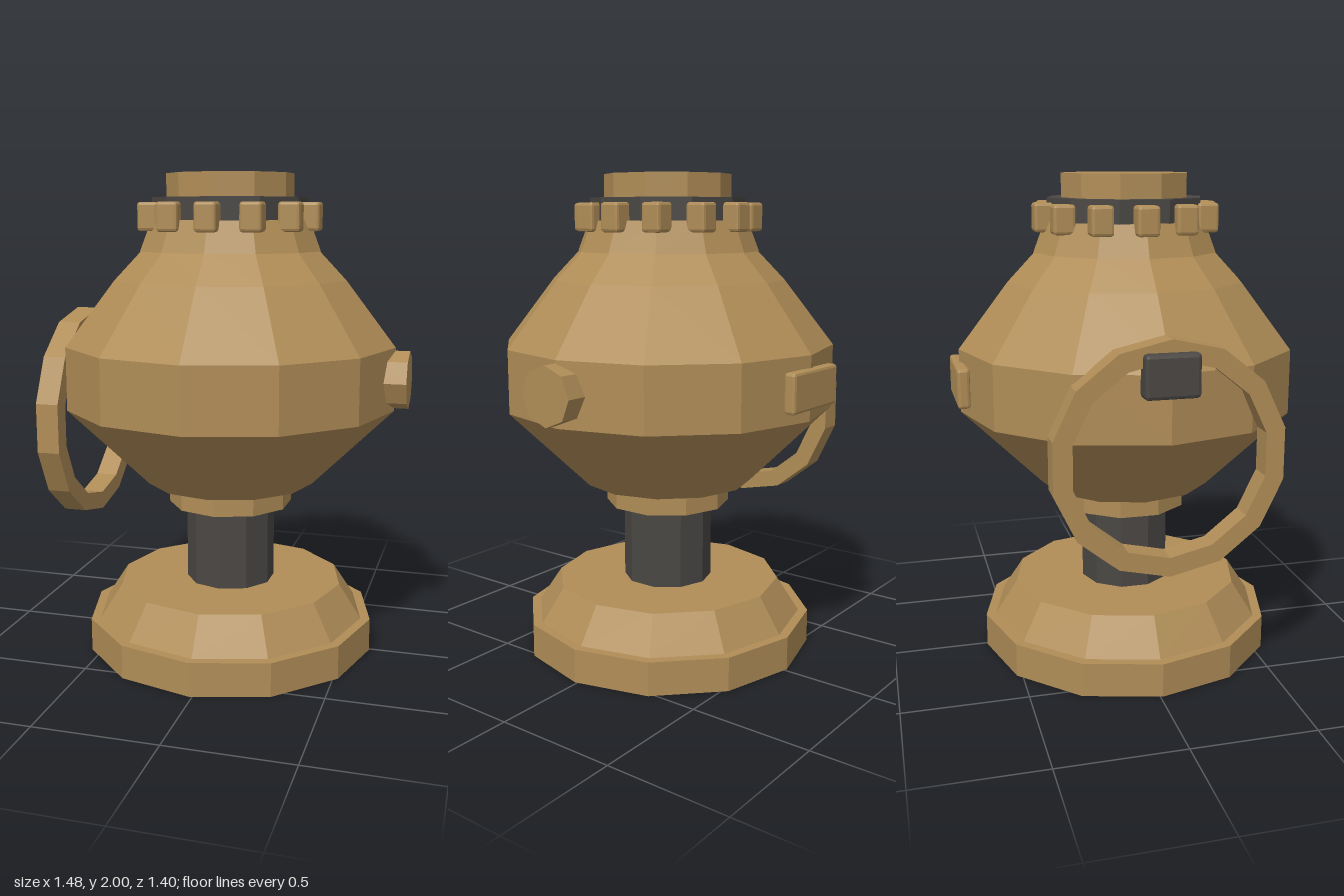
import * as THREE from 'three';
import { RoundedBoxGeometry } from 'three/addons/geometries/RoundedBoxGeometry.js';

const brass = new THREE.MeshStandardMaterial({ color: 0xb08d57 });
brass.name = 'brass';
const iron = new THREE.MeshStandardMaterial({ color: 0x4a4744 });
iron.name = 'dark iron';

// Give every face its own normal for the faceted look
function faceted(geometry) {
  const flat = geometry.index ? geometry.toNonIndexed() : geometry;
  flat.computeVertexNormals();
  return flat;
}

export function createModel() {
  const model = new THREE.Group();
  model.name = 'urn';

  const add = (name, geometry, material, x = 0, y = 0, z = 0) => {
    const mesh = new THREE.Mesh(faceted(geometry), material);
    mesh.name = name;
    mesh.position.set(x, y, z);
    model.add(mesh);
    return mesh;
  };
  const drum = (name, material, y0, y1, r0, r1, sides) =>
    add(name, new THREE.CylinderGeometry(r1, r0, y1 - y0, sides), material, 0, (y0 + y1) / 2, 0);
  const lathe = (points, sides, start = 0) =>
    new THREE.LatheGeometry(points.map(([r, y]) => new THREE.Vector2(r, y)), sides, start);

  // Stepped foot and stem
  drum('basePlinth', brass, 0, 0.14, 0.615, 0.615, 12);
  drum('baseSlope', brass, 0.14, 0.285, 0.575, 0.48, 12);
  drum('stem', iron, 0.28, 0.63, 0.188, 0.188, 10);
  drum('stemCollar', brass, 0.622, 0.73, 0.262, 0.262, 10);

  // Faceted bulging body
  add('body', lathe([[0, 0.72], [0.355, 0.72], [0.69, 1.05], [0.69, 1.31],
    [0.485, 1.575], [0.365, 1.7], [0, 1.7]], 12), brass);

  // Neck, dark band and cap
  drum('neck', brass, 1.69, 1.815, 0.378, 0.33, 12);
  drum('neckBand', iron, 1.8, 1.905, 0.32, 0.32, 10);
  drum('cap', brass, 1.9, 2.0, 0.262, 0.262, 10);

  // Crown of lugs around the neck
  for (let i = 0; i < 12; i++) {
    const a = (i / 12) * Math.PI * 2;
    add('neckLug', new RoundedBoxGeometry(0.088, 0.115, 0.088, 1, 0.012), brass,
      Math.sin(a) * 0.333, 1.828, Math.cos(a) * 0.333);
  }

  // Ring handle with its dark clasp
  const [inner, outer, half] = [0.375, 0.45, 0.047];
  const ring = add('ringHandle', lathe([[inner, -half], [outer, -half], [outer, half],
    [inner, half], [inner, -half]], 14, Math.PI / 2), brass, -0.643, 0.99, 0);
  ring.rotation.z = Math.PI / 2;
  add('handleClasp', new RoundedBoxGeometry(0.08, 0.165, 0.21, 1, 0.014), iron, -0.687, 1.31, -0.005);

  // Octagonal boss on the opposite side
  const boss = add('sideBoss', new THREE.CylinderGeometry(0.118, 0.118, 0.11, 8), brass, 0.693, 1.18, 0);
  boss.rotation.z = Math.PI / 2;

  // Plate on the back
  add('backPlate', new RoundedBoxGeometry(0.33, 0.16, 0.05, 1, 0.012), brass, -0.004, 1.18, -0.69);

  // Balance the overhanging parts about the centre
  model.position.set(-0.013, 0, 0.01);
  return model;
}
